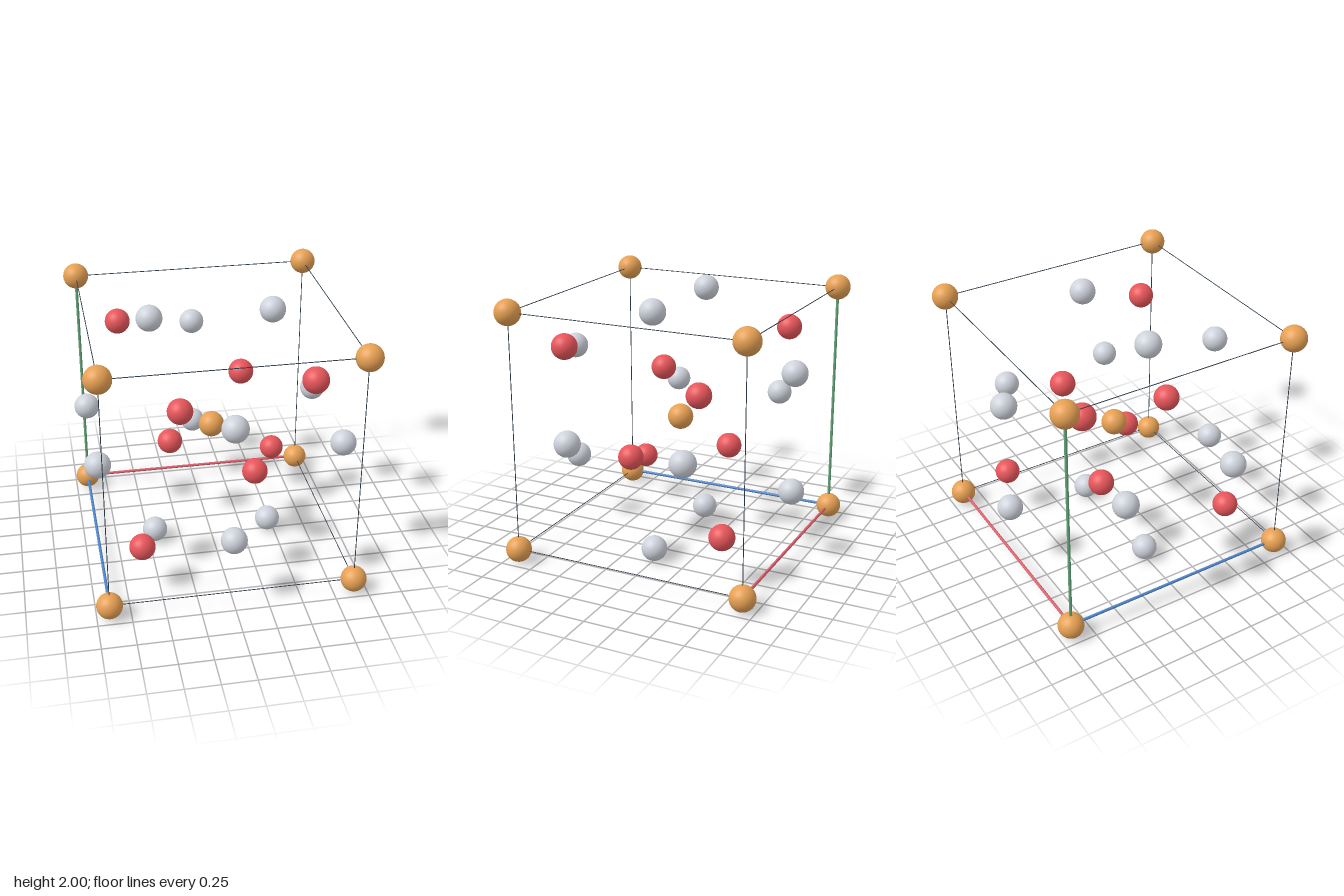
import * as THREE from 'three';

const H = 0.904;   // half the cell edge
const R = 0.096;   // atom radius
const MID = 1;     // height of the cell centre
const SIGNS = [-1, 1];

function makeMaterial(name, color) {
  const m = new THREE.MeshStandardMaterial({ color });
  m.name = name;
  return m;
}

export function createModel() {
  const model = new THREE.Group();
  model.name = 'crystalCell';

  const orange = makeMaterial('orange', 0xe6a053);
  const red = makeMaterial('red', 0xe9565b);
  const silver = makeMaterial('silver', 0xced2db);
  const dark = makeMaterial('edgeSlate', 0x2f3e4e);
  const axisRed = makeMaterial('axisRed', 0xdc606c);
  const axisGreen = makeMaterial('axisGreen', 0x66a87c);
  const axisBlue = makeMaterial('axisBlue', 0x4f86c8);

  const sphere = new THREE.SphereGeometry(R, 32, 24);

  function group(name) {
    const g = new THREE.Group();
    g.name = name;
    model.add(g);
    return g;
  }

  function atom(parent, name, material, x, y, z) {
    const mesh = new THREE.Mesh(sphere, material);
    mesh.name = name;
    mesh.position.set(x, MID + y, z);
    parent.add(mesh);
  }

  // Rod along one cell edge; u and v pick the edge among the four parallel ones
  function rod(parent, name, material, radius, axis, u, v) {
    const mesh = new THREE.Mesh(new THREE.CylinderGeometry(radius, radius, 2 * H, 12), material);
    mesh.name = name;
    if (axis === 'x') {
      mesh.rotation.z = Math.PI / 2;
      mesh.position.set(0, MID + u * H, v * H);
    } else if (axis === 'y') {
      mesh.position.set(u * H, MID, v * H);
    } else {
      mesh.rotation.x = Math.PI / 2;
      mesh.position.set(u * H, MID + v * H, 0);
    }
    parent.add(mesh);
  }

  // Atoms at the eight corners and the centre, and two opposed tetrahedra inside
  const corners = group('cornerAndCentreAtoms');
  const inner = group('tetrahedralAtoms');
  atom(corners, 'centreAtom', orange, 0, 0, 0);
  for (const a of SIGNS) for (const b of SIGNS) for (const c of SIGNS) {
    atom(corners, 'cornerAtom', orange, a * H, b * H, c * H);
    const outer = a * b * c > 0;
    const d = outer ? 0.623 : 0.281;
    atom(inner, outer ? 'outerTetraAtom' : 'innerTetraAtom', red, a * d, b * d, c * d);
  }

  // A pair of atoms on each of the six cell faces
  const faces = group('faceAtoms');
  const Q = H / 2;
  for (const s of SIGNS) for (const t of SIGNS) {
    atom(faces, 'topBottomFaceAtom', silver, t * Q, s * H, 0);
    atom(faces, 'frontBackFaceAtom', silver, 0, t * Q, s * H);
    atom(faces, 'sideFaceAtom', silver, s * H, 0, t * Q);
  }

  // Thin cell edges, with three thicker coloured axes meeting at the low back corner
  const edges = group('cellEdges');
  const axisColours = { x: axisRed, y: axisGreen, z: axisBlue };
  for (const axis of ['x', 'y', 'z']) for (const u of SIGNS) for (const v of SIGNS) {
    if (u < 0 && v < 0) rod(edges, axis + 'Axis', axisColours[axis], 0.011, axis, u, v);
    else rod(edges, 'cellEdge', dark, 0.003, axis, u, v);
  }

  return model;
}
